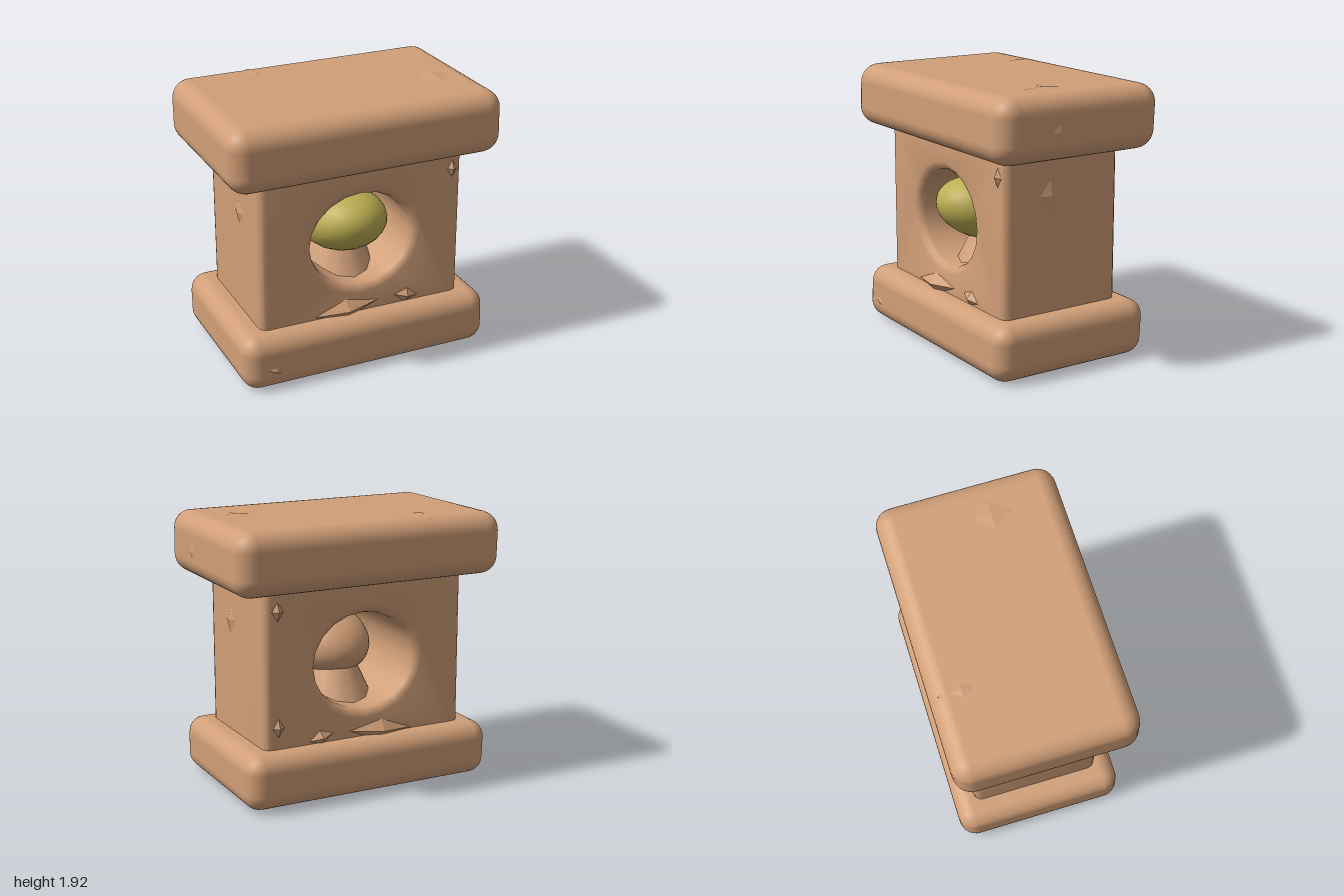
import * as THREE from 'three';
import { toCreasedNormals } from 'three/addons/utils/BufferGeometryUtils.js';
import { RoundedBoxGeometry } from 'three/addons/geometries/RoundedBoxGeometry.js';

const stone = new THREE.MeshStandardMaterial({ name: 'sandstone', color: 0xd19f78 });
const gold = new THREE.MeshStandardMaterial({ name: 'ochre yellow', color: 0xbcae52 });

function add(parent, name, geometry, material, x = 0, y = 0, z = 0) {
  const mesh = new THREE.Mesh(geometry, material);
  mesh.name = name;
  mesh.position.set(x, y, z);
  parent.add(mesh);
  return mesh;
}

// Rounded slab, slightly uneven as if worn
function slabGeometry(w, h, d, r) {
  const g = new RoundedBoxGeometry(w, h, d, 4, r);
  const p = g.attributes.position;
  for (let i = 0; i < p.count; i++) {
    const x = p.getX(i), y = p.getY(i), z = p.getZ(i);
    p.setY(i, y + 0.008 * Math.sin(5 * x + 3 * z));
    p.setZ(i, z + 0.008 * Math.sin(4 * x + 6 * y));
  }
  return g;
}

// Block with rounded corners and an oval tunnel from front to back
function columnGeometry() {
  const b = 0.06, w = 0.70, h = 0.56;
  const shape = new THREE.Shape();
  shape.moveTo(-w, -h);
  shape.lineTo(w, -h);
  shape.lineTo(w, h);
  shape.lineTo(-w, h);
  shape.closePath();
  const hole = new THREE.Path();
  hole.absellipse(0, 0, 0.44, 0.40, 0, Math.PI * 2, true);
  shape.holes.push(hole);
  const g = new THREE.ExtrudeGeometry(shape, {
    depth: 0.8, bevelEnabled: true, bevelSize: b, bevelThickness: b, bevelSegments: 3, curveSegments: 10,
  });
  g.translate(0, 0, -0.4);
  return toCreasedNormals(g, 0.7);
}

// Small four-sided chip of stone, flattened against a face
function chip(parent, x, y, z, sx, sy, sz, tilt = 0) {
  const mesh = add(parent, 'stoneChip', toCreasedNormals(new THREE.OctahedronGeometry(1), 0.3), stone, x, y, z);
  mesh.scale.set(sx, sy, sz);
  mesh.rotation.z = tilt;
}

export function createModel() {
  const model = new THREE.Group();
  model.name = 'stonePedestal';

  add(model, 'base', slabGeometry(1.86, 0.39, 1.21, 0.12), stone, 0, 0.203, 0);
  add(model, 'column', columnGeometry(), stone, 0, 0.93, 0);
  add(model, 'topSlab', slabGeometry(1.99, 0.44, 1.26, 0.13), stone, 0, 1.692, 0);

  // Orb in the opening: yellow face, stone back
  const orb = new THREE.Group();
  orb.name = 'orb';
  orb.position.set(0, 0.97, 0.14);
  orb.rotation.x = -0.25;
  orb.scale.set(0.3, 0.225, 0.36);
  const split = Math.PI * 0.55;
  const face = new THREE.SphereGeometry(1, 20, 10, 0, Math.PI * 2, 0, split).rotateX(Math.PI / 2);
  const back = new THREE.SphereGeometry(1, 20, 8, 0, Math.PI * 2, split, Math.PI - split).rotateX(Math.PI / 2);
  add(orb, 'orbFace', face, gold);
  add(orb, 'orbBack', back, stone);
  model.add(orb);

  // Stone cradle below the orb and stub above it
  const cradle = add(model, 'cradle', new THREE.CylinderGeometry(0.16, 0.27, 0.24, 14), stone, 0, 0.69, 0.02);
  cradle.scale.z = 1.2;
  add(model, 'orbStub', new THREE.CylinderGeometry(0.22, 0.14, 0.14, 14), stone, 0, 1.22, 0.08);

  // Rubble ledges where the column meets the base, front and back
  for (const side of [1, -1]) {
    chip(model, -0.12, 0.43, 0.43 * side, 0.36, 0.11, 0.09, 0.08);
    chip(model, 0.34, 0.44, 0.43 * side, 0.16, 0.09, 0.07, -0.2);
  }

  // Chips on the column, base and top slab
  chip(model, 0.66, 1.35, -0.44, 0.07, 0.11, 0.05);
  chip(model, 0.66, 0.55, -0.44, 0.07, 0.11, 0.05);
  chip(model, 0.68, 1.35, 0.44, 0.06, 0.11, 0.05);
  chip(model, 0.75, 1.2, 0.1, 0.03, 0.16, 0.12);
  chip(model, -0.75, 1.15, 0.1, 0.03, 0.14, 0.12);
  chip(model, -0.72, 0.15, 0.585, 0.16, 0.07, 0.035, -0.4);
  chip(model, 0.7, 1.905, 0.12, 0.16, 0.018, 0.2);
  chip(model, -0.42, 1.905, -0.42, 0.12, 0.018, 0.16);
  chip(model, 0.985, 1.67, 0.19, 0.02, 0.11, 0.11);
  return model;
}
